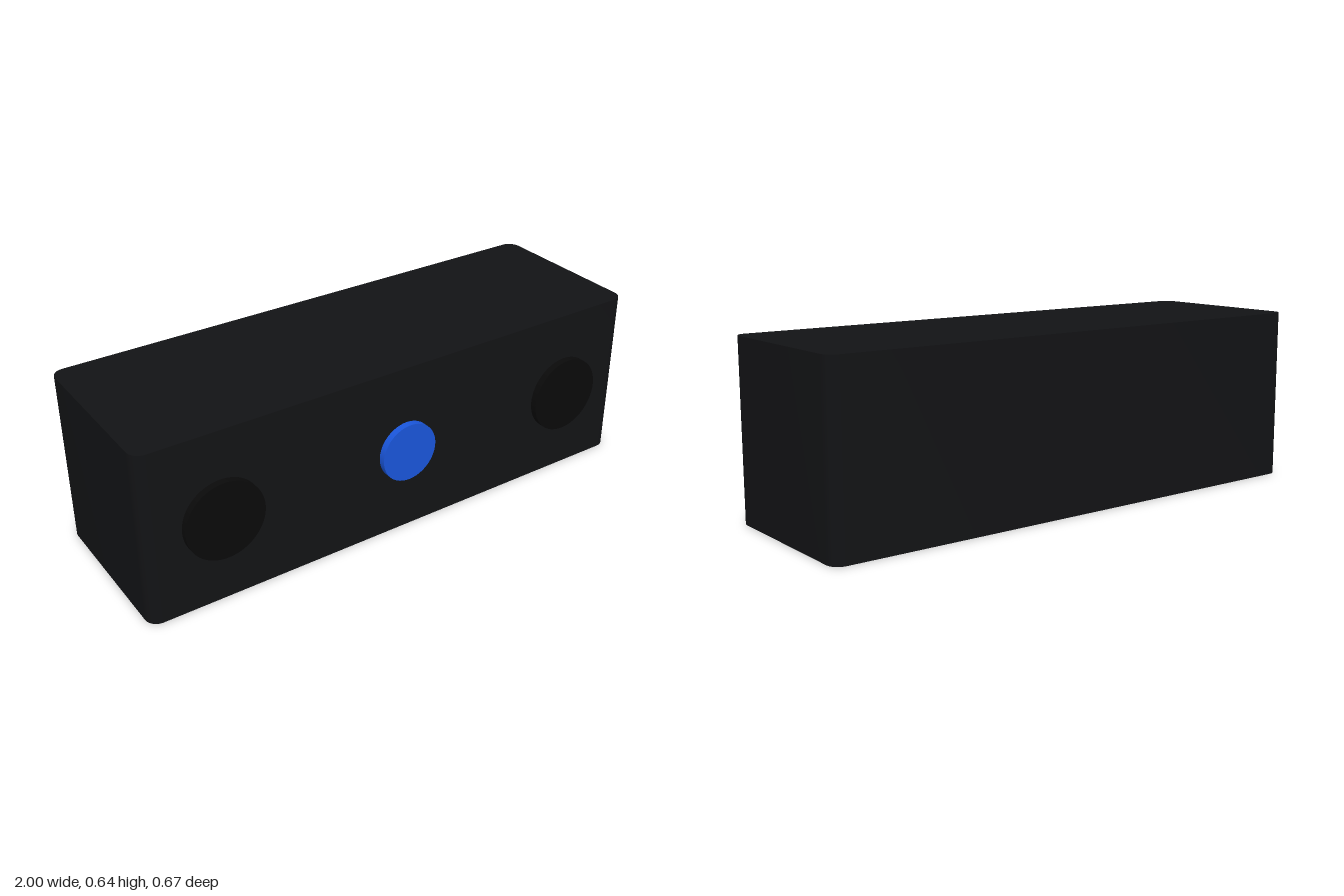
import * as THREE from 'three';
import { toCreasedNormals } from 'three/addons/utils/BufferGeometryUtils.js';

const HEIGHT = 0.641, BACK = -0.333, FACE = 0.308, FRONT = 0.333, CORNER = 0.045;

const material = (color) => new THREE.MeshStandardMaterial({ color });

// Plan outline with rounded corners; shape y is -z.
function bodyOutline() {
  const x = 1 - CORNER, lo = -FACE + CORNER, hi = -BACK - CORNER;
  const s = new THREE.Shape();
  s.absarc(x, lo, CORNER, -Math.PI / 2, 0);
  s.absarc(x, hi, CORNER, 0, Math.PI / 2);
  s.absarc(-x, hi, CORNER, Math.PI / 2, Math.PI);
  s.absarc(-x, lo, CORNER, Math.PI, Math.PI * 1.5);
  s.closePath();
  return s;
}

// Short disc standing proud of the front face.
function disc(name, x, radius, mat) {
  const depth = FRONT - FACE + 0.01;
  const geometry = new THREE.CylinderGeometry(radius, radius, depth, 64).rotateX(Math.PI / 2);
  const mesh = new THREE.Mesh(geometry, mat);
  mesh.name = name;
  mesh.position.set(x, HEIGHT / 2, FRONT - depth / 2);
  return mesh;
}

export function createModel() {
  const group = new THREE.Group();
  group.name = 'speakerBox';

  // Cabinet with rounded upright edges
  const cabinet = new THREE.ExtrudeGeometry(bodyOutline(), {
    depth: HEIGHT, bevelEnabled: false, curveSegments: 12,
  }).rotateX(-Math.PI / 2);
  const body = new THREE.Mesh(toCreasedNormals(cabinet, 0.6), material(0x121315));
  body.name = 'body';
  group.add(body);

  // Side discs, mirrored
  const dark = material(0x0a0a0a);
  for (const [name, side] of [['leftDisc', 1], ['rightDisc', -1]]) {
    group.add(disc(name, side * 0.72, 0.144, dark));
  }

  // Blue centre button
  group.add(disc('centreButton', 0, 0.11, material(0x1a56db)));
  return group;
}
